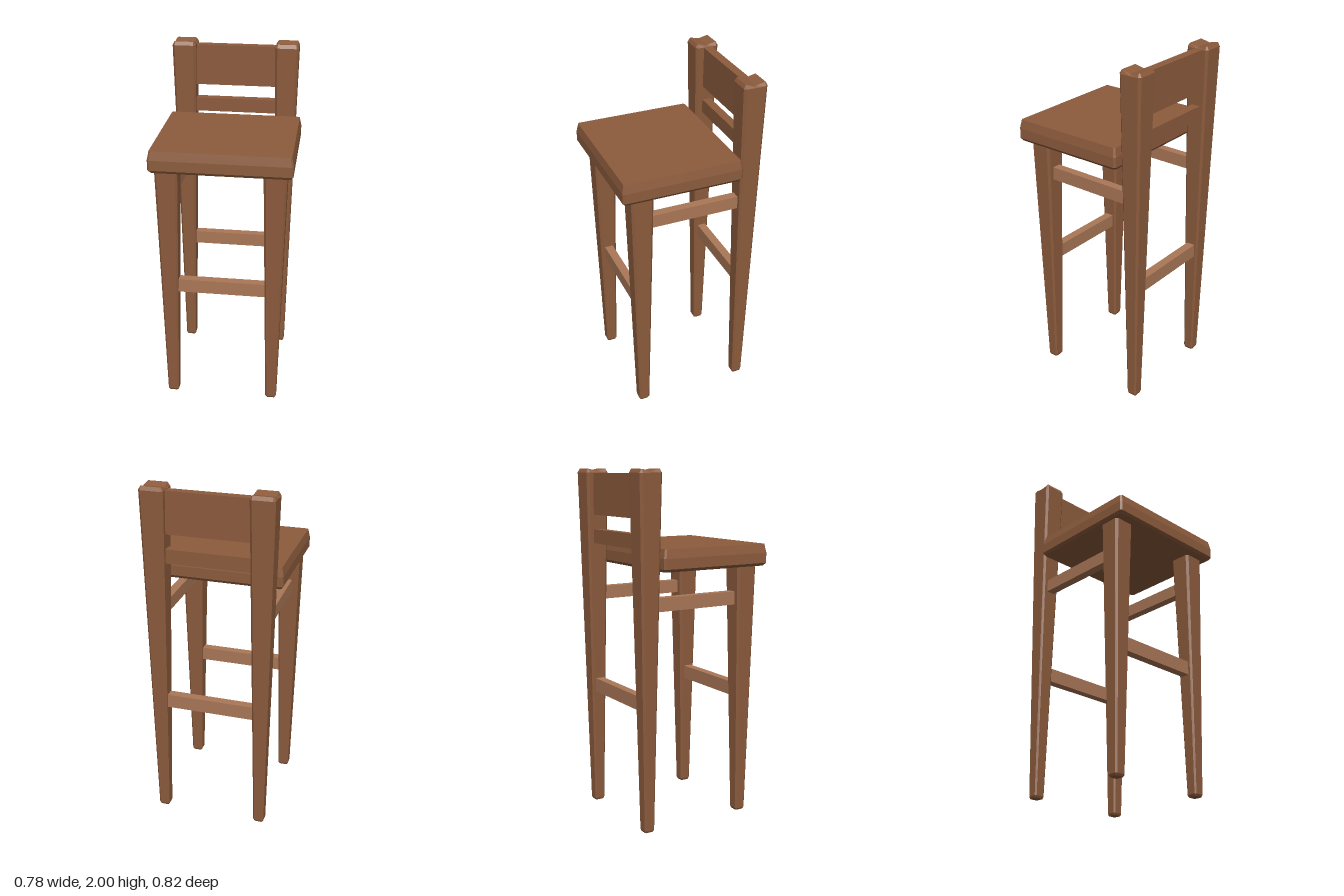
import * as THREE from 'three';

const dark = new THREE.MeshStandardMaterial({ color: 0x8d5c3d, flatShading: true });
const light = new THREE.MeshStandardMaterial({ color: 0xaa7757, flatShading: true });

// Stack of rectangular rings with cut corners; each ring is [y, halfX, halfZ, cornerCut].
// dip lowers the middle line of the top cap.
function stack(rings, dip = 0) {
  const loops = rings.map(([y, x, z, c], i) => {
    const m = y - (i === rings.length - 1 ? dip : 0);
    return [
      [x, m, 0], [x, y, z - c], [x - c, y, z], [c - x, y, z], [-x, y, z - c],
      [-x, m, 0], [-x, y, c - z], [c - x, y, -z], [x - c, y, -z], [x, y, c - z],
    ];
  });
  const pos = [];
  const tri = (...pts) => pts.forEach((p) => pos.push(...p));
  const n = loops[0].length;
  const first = loops[0], last = loops[loops.length - 1];
  const bottom = [0, rings[0][0], 0];
  const top = [0, rings[rings.length - 1][0] - dip, 0];
  for (let k = 0; k < n; k++) {
    const j = (k + 1) % n;
    for (let i = 0; i < loops.length - 1; i++) {
      const a = loops[i], b = loops[i + 1];
      tri(a[k], b[k], b[j]);
      tri(a[k], b[j], a[j]);
    }
    tri(bottom, first[k], first[j]);
    tri(top, last[j], last[k]);
  }
  const g = new THREE.BufferGeometry();
  g.setAttribute('position', new THREE.Float32BufferAttribute(pos, 3));
  g.computeVertexNormals();
  return g;
}

export function createModel() {
  const group = new THREE.Group();
  const add = (name, geometry, material, x, y, z) => {
    const mesh = new THREE.Mesh(geometry, material);
    mesh.name = name;
    mesh.position.set(x, y, z);
    group.add(mesh);
  };

  // Ring winding runs from +x to +z, so sides face outward
  const seat = stack([
    [1.462, 0.376, 0.331, 0.01], [1.478, 0.388, 0.342, 0.01],
    [1.535, 0.388, 0.342, 0.01], [1.585, 0.378, 0.332, 0.008],
  ]);
  add('seat', seat, dark, 0, 0, 0.067);

  // Tapered legs; the back pair carries on up as the backrest posts
  const frontLeg = stack([
    [0, 0.026, 0.026, 0.006], [0.012, 0.032, 0.032, 0.008], [1.475, 0.064, 0.064, 0.013],
  ]);
  const backPost = stack([
    [0, 0.026, 0.026, 0.006], [0.012, 0.031, 0.031, 0.008],
    [1.98, 0.0675, 0.0675, 0.013], [2, 0.056, 0.056, 0.004],
  ], 0.012);
  const mid = -0.006;
  for (const side of [-1, 1]) {
    const label = side > 0 ? 'left' : 'right';
    const x = mid + side * 0.296;
    add(`${label}FrontLeg`, frontLeg, dark, x, 0, 0.287);
    add(`${label}BackPost`, backPost, dark, x, 0, -0.341);
    // Rail under the seat joining front and back
    add(`${label}SideRail`, new THREE.BoxGeometry(0.05, 0.075, 0.56), light, x, 1.283, -0.03);
  }

  // Backrest slats
  add('topSlat', new THREE.BoxGeometry(0.5, 0.235, 0.05), dark, mid, 1.86, -0.345);
  add('lowerSlat', new THREE.BoxGeometry(0.5, 0.08, 0.05), dark, mid, 1.62, -0.345);

  // Footrests
  const footRail = new THREE.BoxGeometry(0.53, 0.08, 0.05);
  add('frontFootRail', footRail, light, mid, 0.735, 0.287);
  add('backFootRail', footRail, light, mid, 0.735, -0.341);
  return group;
}
